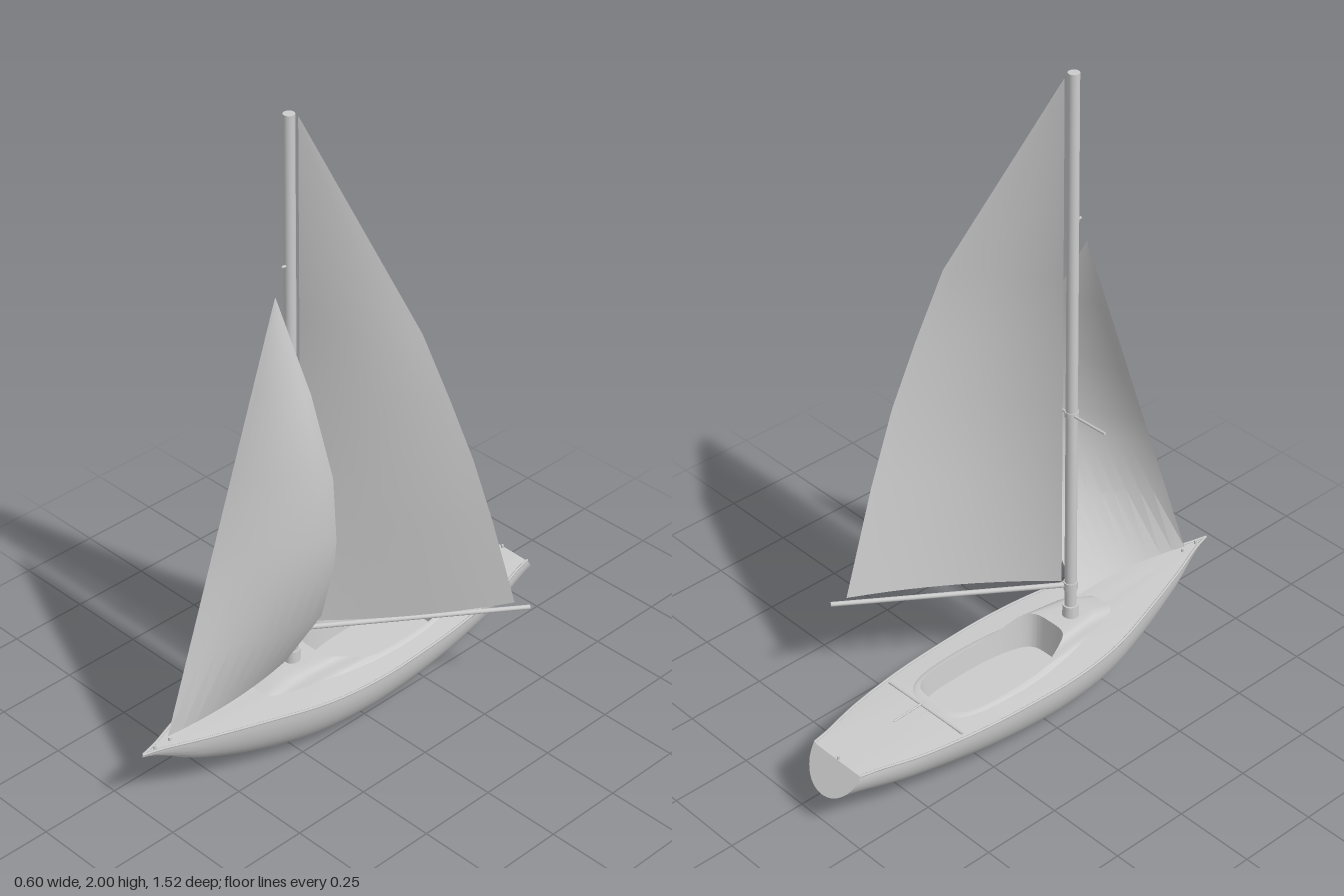
import * as THREE from 'three';
import { toCreasedNormals } from 'three/addons/utils/BufferGeometryUtils.js';

const V = (x, y, z) => new THREE.Vector3(x, y, z);
const grey = new THREE.MeshStandardMaterial({ color: 0xcccccc });
const greyThin = new THREE.MeshStandardMaterial({ color: 0xcccccc, side: THREE.DoubleSide });
const smooth = THREE.MathUtils.smoothstep;

const STERN = -0.7, BOW = 0.76, LEN = BOW - STERN, MID = (BOW + STERN) / 2;

// Hull lines, evenly spaced from stern to bow
const line = (values) => {
  const curve = new THREE.SplineCurve(values.map((v, i) => new THREE.Vector2(i, v)));
  return (z) => curve.getPoint(THREE.MathUtils.clamp((z - STERN) / LEN, 0, 1)).y;
};
const beam = line([0.1, 0.148, 0.178, 0.192, 0.195, 0.175, 0.124, 0.064, 0]);
const sheer = line([0.2, 0.196, 0.195, 0.194, 0.194, 0.199, 0.208, 0.216, 0.222]);
const keel = line([0.11, 0.065, 0.03, 0.007, 0, 0.008, 0.045, 0.115, 0.215]);

function add(parent, name, geometry, material = grey) {
  const mesh = new THREE.Mesh(geometry, material);
  mesh.name = name;
  parent.add(mesh);
  return mesh;
}

// Surface through rows of points with equal counts
function loft(rows, crease = 0.6) {
  const n = rows[0].length, index = [];
  for (let r = 0; r < rows.length - 1; r++) {
    for (let c = 0; c < n - 1; c++) {
      const a = r * n + c, b = a + n;
      index.push(a, b, a + 1, b, b + 1, a + 1);
    }
  }
  const geo = new THREE.BufferGeometry().setFromPoints(rows.flat());
  geo.setIndex(index);
  return toCreasedNormals(geo, crease);
}

// Round bar between two points
function bar(parent, name, a, b, r0, r1 = r0, sides = 12) {
  const dir = b.clone().sub(a);
  const mesh = add(parent, name, new THREE.CylinderGeometry(r1, r0, dir.length(), sides));
  mesh.position.copy(a).addScaledVector(dir, 0.5);
  mesh.quaternion.setFromUnitVectors(V(0, 1, 0), dir.normalize());
  return mesh;
}

// Sail from a straight luff and a leech, bellied forward and to the left
function sail(parent, name, head, tack, leech, belly) {
  const top = leech[0].y, foot = leech[leech.length - 1].y;
  const rows = leech.map((edge) => {
    const t = (top - edge.y) / (top - foot);
    const luff = head.clone().lerp(tack, t);
    const chord = edge.clone().sub(luff);
    const normal = V(-chord.z, 0, chord.x);
    if (normal.z < 0) normal.set(-chord.z, 0, Math.abs(chord.x));
    const depth = belly * (1 - 0.5 * smooth(t, 0.7, 1));
    return Array.from({ length: 11 }, (_, i) => {
      const s = i / 10;
      return luff.clone().addScaledVector(chord, s).addScaledVector(normal, depth * 4 * s * (1 - s));
    });
  });
  add(parent, name, loft(rows, 0.5), greyThin);
}

function buildHull() {
  const hull = new THREE.Group();
  hull.name = 'hull';

  // Shell, with the raked transom closing the stern
  const shell = [];
  for (let i = 0; i <= 48; i++) {
    const z = MID + (LEN / 2) * Math.cos((i / 48) * Math.PI);
    const rake = 0.06 * (1 - smooth(z, STERN, -0.35));
    shell.push(Array.from({ length: 33 }, (_, j) => {
      const a = (j / 32 - 0.5) * Math.PI, down = Math.cos(a);
      return V(beam(z) * Math.sin(a), sheer(z) - (sheer(z) - keel(z)) * down, z - rake * down);
    }));
  }
  add(hull, 'shell', loft(shell), greyThin);
  const last = shell[shell.length - 1];
  const centre = V(0, sheer(STERN), STERN);
  add(hull, 'transom', loft([last, last.map(() => centre)]), greyThin);

  // Deck, coaming, raised front and cockpit well as concentric rings
  const N = 96;
  const ring = (fn) => Array.from({ length: N + 1 }, (_, k) => fn((k / N) * Math.PI * 2));
  const pow = (v, e) => Math.sign(v) * Math.abs(v) ** e;
  const oval = (a, z0, z1, half, taper) => {
    const z = (z0 + z1) / 2 + ((z1 - z0) / 2) * pow(Math.cos(a), 0.5);
    return V(half * pow(Math.sin(a), 0.5) * (1 - taper * smooth(z, -0.1, z1)), 0, z);
  };
  const edge = ring((a) => {
    const z = MID + (LEN / 2) * Math.cos(a);
    return V(beam(z) * THREE.MathUtils.clamp(Math.sin(a) * 20, -1, 1), sheer(z), z);
  });
  const foot = ring((a) => {
    const p = oval(a, -0.365, 0.325, 0.13, 0.45);
    return p.setY(sheer(p.z) + 0.004);
  });
  const lip = ring((a) => {
    const p = oval(a, -0.34, 0.11, 0.112, 0.14);
    return p.setY(0.203 + 0.042 * smooth(p.z, -0.04, 0.1));
  });
  const shoulder = foot.map((p, k) => {
    const q = p.clone().lerp(lip[k], 0.35);
    return q.setY(THREE.MathUtils.lerp(p.y, lip[k].y, 0.8));
  });
  const floor = lip.map((p) => V(p.x * 0.93, 0.13, -0.115 + (p.z + 0.115) * 0.96));
  const middle = floor.map(() => V(0, 0.13, -0.115));
  add(hull, 'deck', loft([edge, foot]), greyThin);
  add(hull, 'coaming', loft([foot, shoulder, lip], 0.9), greyThin);
  add(hull, 'cockpitWell', loft([lip, floor, middle]), greyThin);

  // Toe rails along both deck edges
  for (const side of [-1, 1]) {
    const pts = Array.from({ length: 25 }, (_, i) => {
      const z = STERN + (LEN * i) / 24;
      return V(side * beam(z) * 0.985, sheer(z) + 0.001, z);
    });
    add(hull, 'toeRail', new THREE.TubeGeometry(new THREE.CatmullRomCurve3(pts), 60, 0.004, 6));
  }

  // Aft deck: sheet track, centre strip, tiller and small fittings
  bar(hull, 'sheetTrack', V(-0.155, 0.2, -0.375), V(0.155, 0.2, -0.375), 0.004, 0.004, 8);
  bar(hull, 'centreStrip', V(-0.015, 0.196, -0.68), V(-0.015, 0.198, -0.375), 0.002, 0.002, 6);
  bar(hull, 'tiller', V(0.015, 0.2, -0.48), V(0.015, 0.206, -0.37), 0.003, 0.003, 8);
  for (const z of [-0.695, 0.66, 0.715]) {
    const y = sheer(z);
    bar(hull, 'deckEye', V(0, y - 0.004, z), V(0, y + 0.01, z), 0.005, 0.004, 8);
  }

  hull.position.x = -0.105;
  hull.rotation.z = -0.012;
  return hull;
}

export function createModel() {
  const model = new THREE.Group();
  model.name = 'sailboat';
  model.add(buildHull());

  // Mast, leaning slightly with the heel of the boat
  const mastAt = (y) => V(-0.112 + (y - 0.24) * 0.0125, y, 0.181);
  bar(model, 'mast', mastAt(0.235), mastAt(2), 0.018, 0.0165, 20);
  bar(model, 'mastStep', mastAt(0.23), mastAt(0.28), 0.025, 0.023, 20);
  bar(model, 'gooseneck', mastAt(0.335), mastAt(0.362), 0.021, 0.021, 20);
  bar(model, 'spreaderCollar', mastAt(0.935), mastAt(0.953), 0.02, 0.02, 20);
  bar(model, 'spreaders', V(-0.24, 0.947, 0.176), V(0.042, 0.941, 0.176), 0.004, 0.004, 8);
  bar(model, 'forestayEye', V(-0.095, 1.555, 0.185), V(-0.095, 1.558, 0.211), 0.004, 0.004, 8);

  // Boom swung out to the left
  bar(model, 'boom', V(-0.1, 0.35, 0.166), V(0.293, 0.345, -0.384), 0.008, 0.007, 12);

  // Mainsail
  const mainLeech = [[-0.078, 1.985], [0.185, 1.37], [0.225, 1.15], [0.255, 0.94], [0.266, 0.7], [0.265, 0.365]]
    .map(([x, y]) => V(x, y, 0.157 - ((1.985 - y) / 1.62) * 0.505));
  sail(model, 'mainsail', V(-0.08, 1.985, 0.158), V(-0.1, 0.37, 0.155), mainLeech, 0.07);

  // Jib
  const jibLeech = [[-0.095, 1.475], [0.035, 1.23], [0.115, 1], [0.125, 0.8], [0.115, 0.71], [0.06, 0.51], [-0.09, 0.27]]
    .map(([x, y]) => V(x, y, 0.225 + (y - 0.27) * 0.008));
  sail(model, 'jib', V(-0.096, 1.475, 0.236), V(-0.104, 0.235, 0.665), jibLeech, 0.09);

  return model;
}
